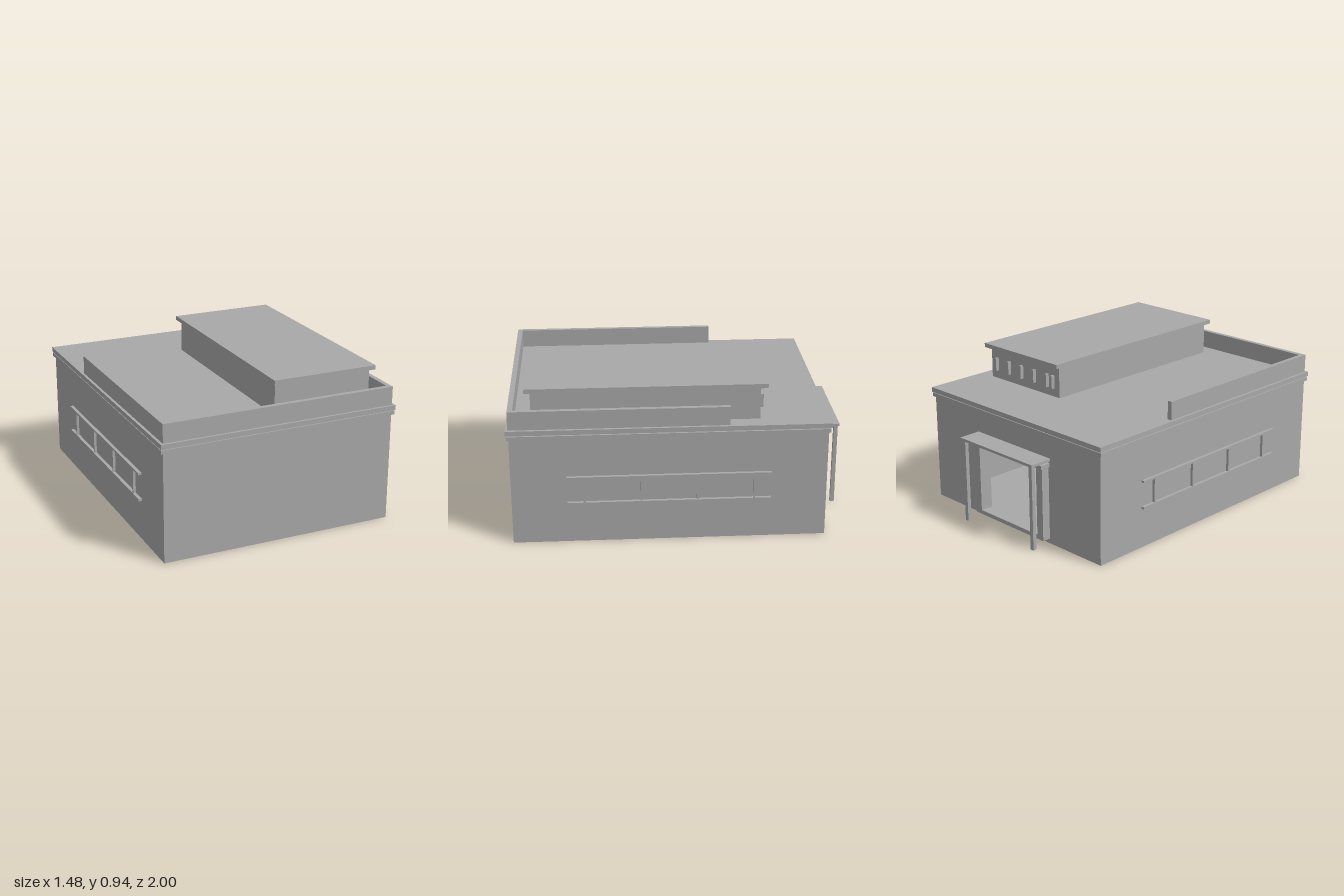
import * as THREE from 'three';

export function createModel() {
  const model = new THREE.Group();
  const grey = new THREE.MeshStandardMaterial({ color: 0xa8a8a8 });
  grey.name = 'concrete grey';

  // Box given by its limits on each axis
  function box(name, [x0, x1], [y0, y1], [z0, z1], parent = model) {
    const mesh = new THREE.Mesh(new THREE.BoxGeometry(x1 - x0, y1 - y0, z1 - z0), grey);
    mesh.position.set((x0 + x1) / 2, (y0 + y1) / 2, (z0 + z1) / 2);
    mesh.name = name;
    parent.add(mesh);
    return mesh;
  }
  function group(name) {
    const g = new THREE.Group();
    g.name = name;
    model.add(g);
    return g;
  }

  // Hollow main hall
  const hall = group('hall');
  box('floor', [-0.718, 0.718], [0, 0.006], [-0.858, 0.983], hall);
  box('frontWall', [-0.718, 0.718], [0.006, 0.66], [0.955, 0.983], hall);
  for (const s of [-1, 1]) {
    box('sideWall', s < 0 ? [-0.718, -0.69] : [0.69, 0.718], [0.006, 0.66], [-0.83, 0.955], hall);
  }
  // Back wall with the doorway cut out
  const wall = new THREE.Shape();
  wall.moveTo(-0.718, 0.006).lineTo(0.718, 0.006).lineTo(0.718, 0.66).lineTo(-0.718, 0.66).closePath();
  const door = new THREE.Path();
  door.moveTo(-0.25, 0.05).lineTo(-0.25, 0.48).lineTo(0.25, 0.48).lineTo(0.25, 0.05).closePath();
  wall.holes.push(door);
  const backWall = new THREE.Mesh(
    new THREE.ExtrudeGeometry(wall, { depth: 0.028, bevelEnabled: false }), grey);
  backWall.position.z = -0.858;
  backWall.name = 'backWall';
  hall.add(backWall);

  // Double cornice and roof deck
  const roof = group('roof');
  box('lowerCornice', [-0.733, 0.733], [0.66, 0.683], [-0.868, 0.995], roof);
  box('corniceGroove', [-0.718, 0.718], [0.683, 0.689], [-0.858, 0.983], roof);
  box('upperCornice', [-0.735, 0.735], [0.689, 0.718], [-0.873, 1], roof);

  // Parapet on the front and part of the sides
  const parapet = group('parapet');
  box('frontParapet', [-0.718, 0.718], [0.718, 0.83], [0.955, 0.985], parapet);
  box('leftParapet', [0.69, 0.718], [0.718, 0.83], [-0.285, 0.955], parapet);
  box('rightParapet', [-0.718, -0.69], [0.718, 0.83], [-0.285, 0.955], parapet);

  // Rooftop penthouse with a row of window bars at the back
  const penthouse = group('penthouse');
  box('penthouseWalls', [0.02, 0.635], [0.718, 0.914], [-0.467, 0.855], penthouse);
  box('penthouseRoof', [0, 0.655], [0.914, 0.94], [-0.507, 0.89], penthouse);
  for (const x of [0.58, 0.465, 0.35, 0.235, 0.12, 0.07]) {
    box('windowBar', [x - 0.008, x + 0.008], [0.77, 0.852], [-0.49, -0.467], penthouse);
  }

  // Window rails and mullions on both sides
  for (const s of [-1, 1]) {
    const frame = group(s < 0 ? 'rightWindowFrame' : 'leftWindowFrame');
    const span = (a, b) => (s < 0 ? [-b, -a] : [a, b]);
    box('topRail', span(0.716, 0.738), [0.408, 0.421], [-0.53, 0.66], frame);
    box('bottomRail', span(0.716, 0.738), [0.245, 0.259], [-0.53, 0.66], frame);
    for (const z of [0.56, 0.23, -0.1, -0.43]) {
      box('mullion', span(0.716, 0.734), [0.259, 0.408], [z - 0.006, z + 0.006], frame);
    }
  }

  // Back entrance: canopy on posts and a deep door frame
  const porch = group('porch');
  box('canopy', [-0.315, 0.315], [0.517, 0.533], [-1, -0.857], porch);
  box('doorHeader', [-0.31, 0.31], [0.482, 0.505], [-0.925, -0.857], porch);
  box('doorSill', [-0.25, 0.25], [0.03, 0.055], [-0.91, -0.857], porch);
  for (const s of [-1, 1]) {
    const span = (a, b) => (s < 0 ? [-b, -a] : [a, b]);
    box('doorJamb', span(0.25, 0.3), [0.03, 0.482], [-0.91, -0.857], porch);
    box('post', span(0.28, 0.305), [0, 0.517], [-0.992, -0.968], porch);
  }
  return model;
}
